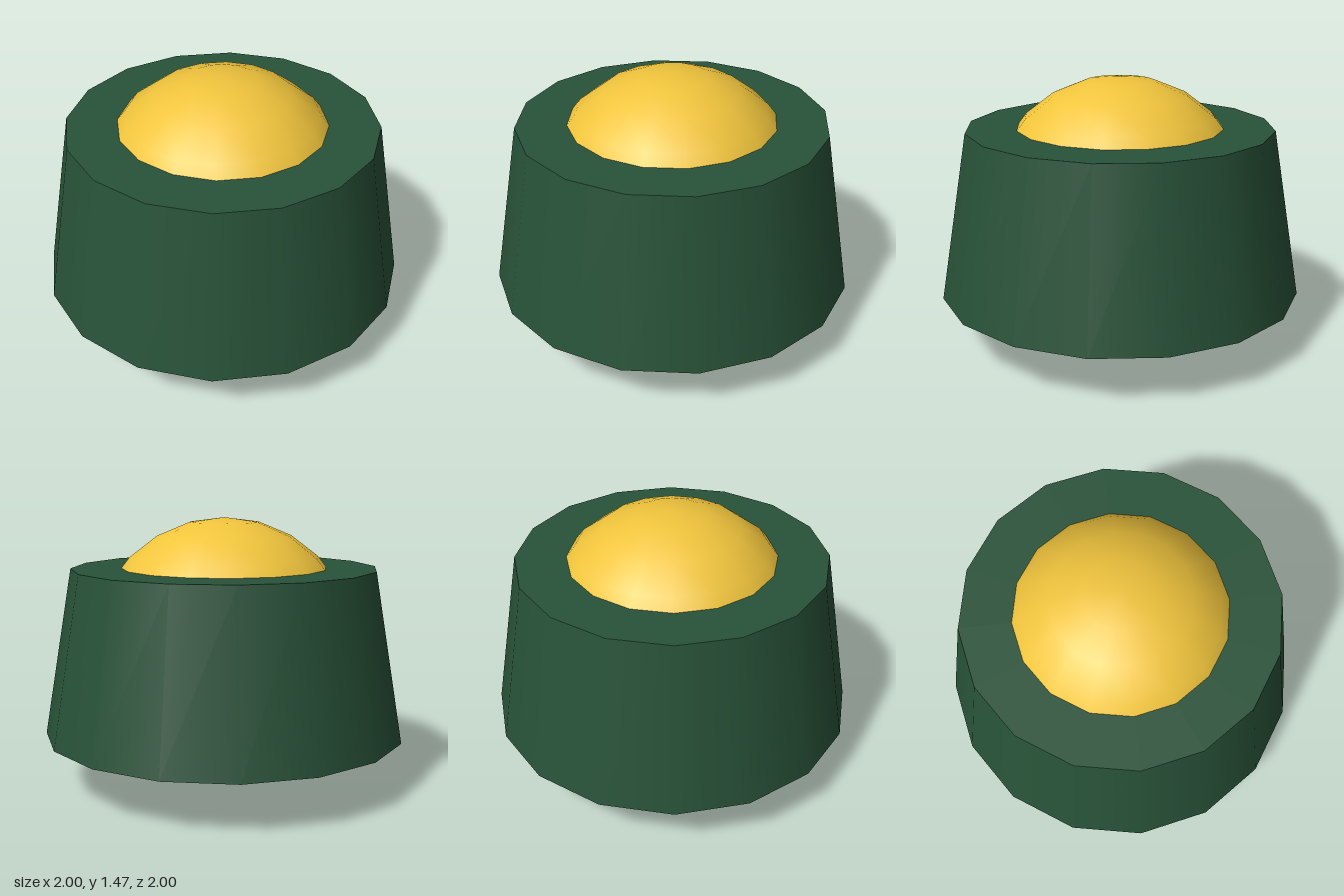
import * as THREE from 'three';

export function createModel() {
  const group = new THREE.Group();

  const add = (name, geometry, color, y) => {
    const mesh = new THREE.Mesh(geometry, new THREE.MeshStandardMaterial({ color }));
    mesh.name = name;
    mesh.position.y = y;
    group.add(mesh);
  };

  // Ball showing above and below the collar
  add('ball', new THREE.SphereGeometry(0.737, 16, 12), 0xf0c43c, 0.737);

  // Tapered sixteen-sided collar around the ball
  add('collar', new THREE.CylinderGeometry(0.842, 1, 0.92, 16), 0x285238, 0.74);

  return group;
}
